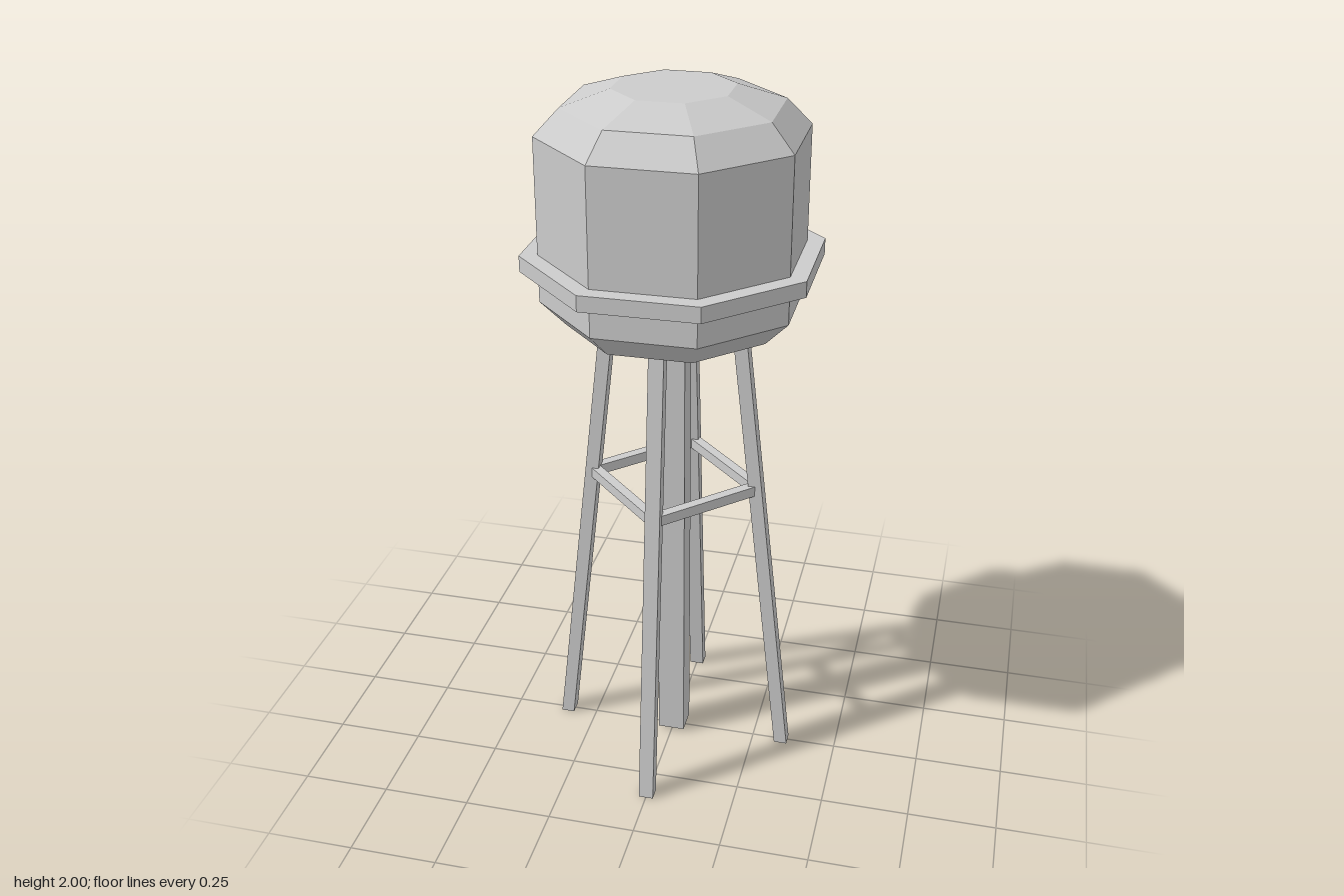
import * as THREE from 'three';

const material = new THREE.MeshStandardMaterial({ color: 0xcccccc, flatShading: true });
const CORNER = 1 / Math.cos(Math.PI / 8); // octagon apothem -> corner radius

// Octagonal solid from [apothem, height] pairs, bottom to top, flats on the axes
function octagon(name, profile) {
  const points = profile.map(([a, y]) => new THREE.Vector2(a * CORNER, y));
  const mesh = new THREE.Mesh(new THREE.LatheGeometry(points, 8, Math.PI / 8), material);
  mesh.name = name;
  return mesh;
}

function box(name, w, h, d) {
  const mesh = new THREE.Mesh(new THREE.BoxGeometry(w, h, d), material);
  mesh.name = name;
  return mesh;
}

// Distance of a leg's centre line from the axis at a given height
const legRadius = (y) => 0.338 - 0.114 * y;

export function createModel() {
  const group = new THREE.Group();
  group.name = 'waterTower';

  // Tank with stepped dome and bowl
  group.add(octagon('tank', [
    [0, 1.325], [0.15, 1.325], [0.27, 1.37], [0.333, 1.44],
    [0.333, 1.887], [0.27, 1.957], [0.15, 2], [0, 2],
  ]));

  // Walkway ring around the tank
  group.add(octagon('walkway', [
    [0.32, 1.528], [0.378, 1.528], [0.378, 1.572], [0.32, 1.572],
  ]));

  // Central riser pipe
  const riser = box('riser', 0.078, 1.34, 0.078);
  riser.position.y = 0.68;
  group.add(riser);

  // Leaning legs: upright boxes sheared inwards, with level ends
  const legHeight = 1.37;
  const legGeometry = new THREE.BoxGeometry(0.038, legHeight, 0.042).translate(0, legHeight / 2, 0);
  const p = legGeometry.attributes.position;
  for (let i = 0; i < p.count; i++) p.setX(i, p.getX(i) + legRadius(p.getY(i)));
  legGeometry.computeVertexNormals();

  // Four legs on the axes, with a brace between each neighbouring pair
  const braceY = 0.872;
  const r = legRadius(braceY);
  for (let i = 0; i < 4; i++) {
    const leg = new THREE.Mesh(legGeometry, material);
    leg.name = `leg${i + 1}`;
    leg.rotation.y = i * Math.PI / 2;
    group.add(leg);

    const brace = box(`brace${i + 1}`, 0.028, 0.03, r * Math.SQRT2);
    const angle = (i + 0.5) * Math.PI / 2;
    brace.position.set(Math.cos(angle) * r / Math.SQRT2, braceY, -Math.sin(angle) * r / Math.SQRT2);
    brace.rotation.y = angle;
    group.add(brace);
  }
  return group;
}
